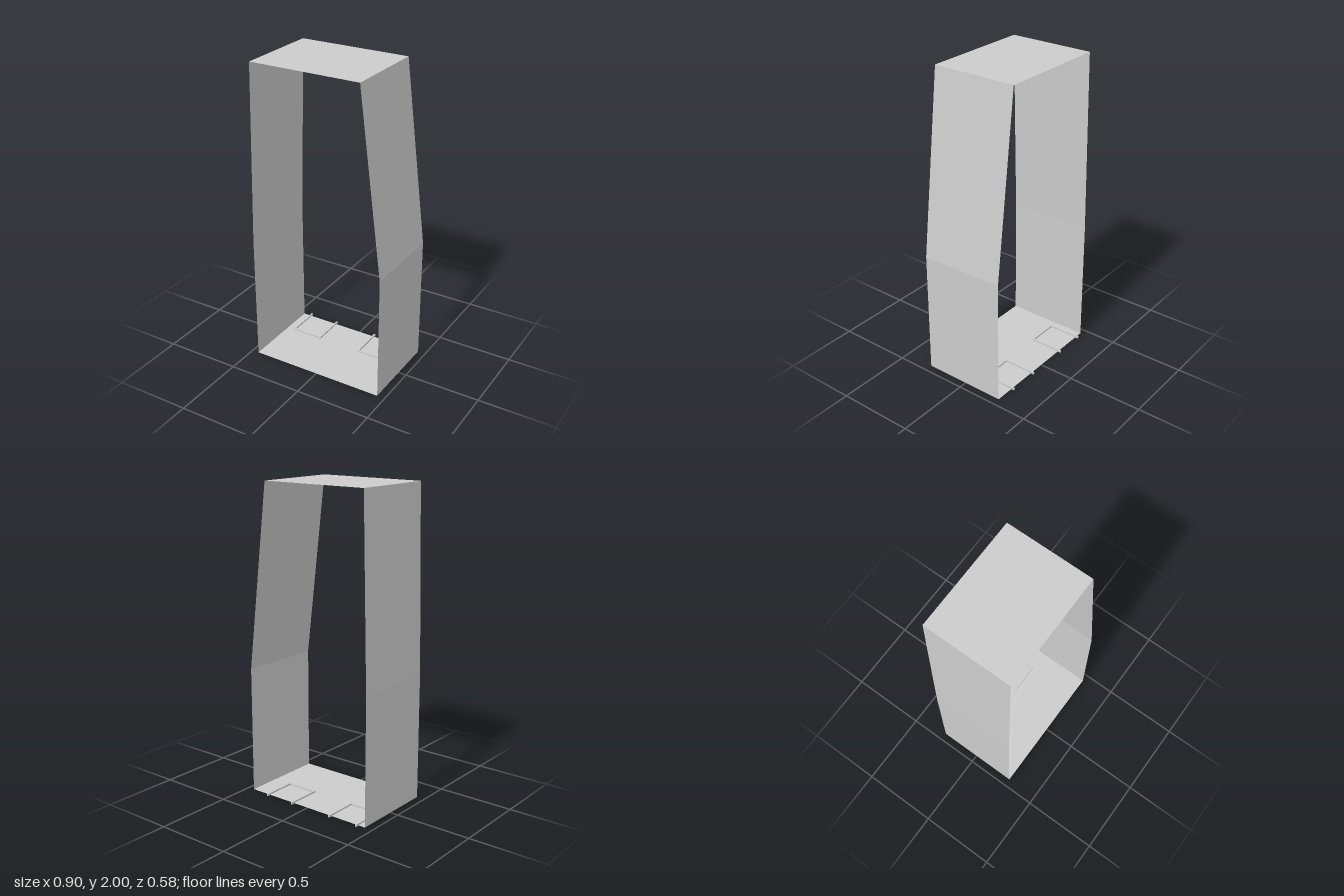
import * as THREE from 'three';

export function createModel() {
  const model = new THREE.Group();
  const shellMat = new THREE.MeshStandardMaterial({ color: 0xcccccc, flatShading: true, side: THREE.DoubleSide });
  const barMat = new THREE.MeshStandardMaterial({ color: 0xcccccc, flatShading: true });

  // Thin sleeve, open at front and back: one closed outline swept along z
  const outline = [
    [-0.45, 0.004], [0.45, 0.004], [0.45, 0.82],
    [0.305, 2], [-0.422, 2], [-0.45, 0.82],
  ];
  const zFront = 0.288, zBack = -0.27;
  const positions = [];
  outline.forEach(([ax, ay], i) => {
    const [bx, by] = outline[(i + 1) % outline.length];
    positions.push(
      ax, ay, zFront, ax, ay, zBack, bx, by, zBack,
      ax, ay, zFront, bx, by, zBack, bx, by, zFront,
    );
  });
  const sleeveGeo = new THREE.BufferGeometry();
  sleeveGeo.setAttribute('position', new THREE.Float32BufferAttribute(positions, 3));
  sleeveGeo.computeVertexNormals();
  const sleeve = new THREE.Mesh(sleeveGeo, shellMat);
  sleeve.name = 'sleeve';
  model.add(sleeve);

  // U-shaped floor brackets, open towards the back
  const thick = 0.01, height = 0.014, zNear = -0.06, zEnd = -0.288;
  function addBracket(name, x0, x1) {
    const bracket = new THREE.Group();
    bracket.name = name;
    const addBar = (part, w, d, x, z) => {
      const bar = new THREE.Mesh(new THREE.BoxGeometry(w, height, d), barMat);
      bar.name = part;
      bar.position.set(x, height / 2, z);
      bracket.add(bar);
    };
    const armLength = zNear - thick - zEnd;
    const armZ = (zNear - thick + zEnd) / 2;
    addBar('crossBar', x1 - x0, thick, (x0 + x1) / 2, zNear - thick / 2);
    addBar('rightArm', thick, armLength, x0 + thick / 2, armZ);
    addBar('leftArm', thick, armLength, x1 - thick / 2, armZ);
    model.add(bracket);
  }
  addBracket('rightBracket', -0.4, -0.185);
  addBracket('leftBracket', 0.105, 0.32);

  return model;
}
